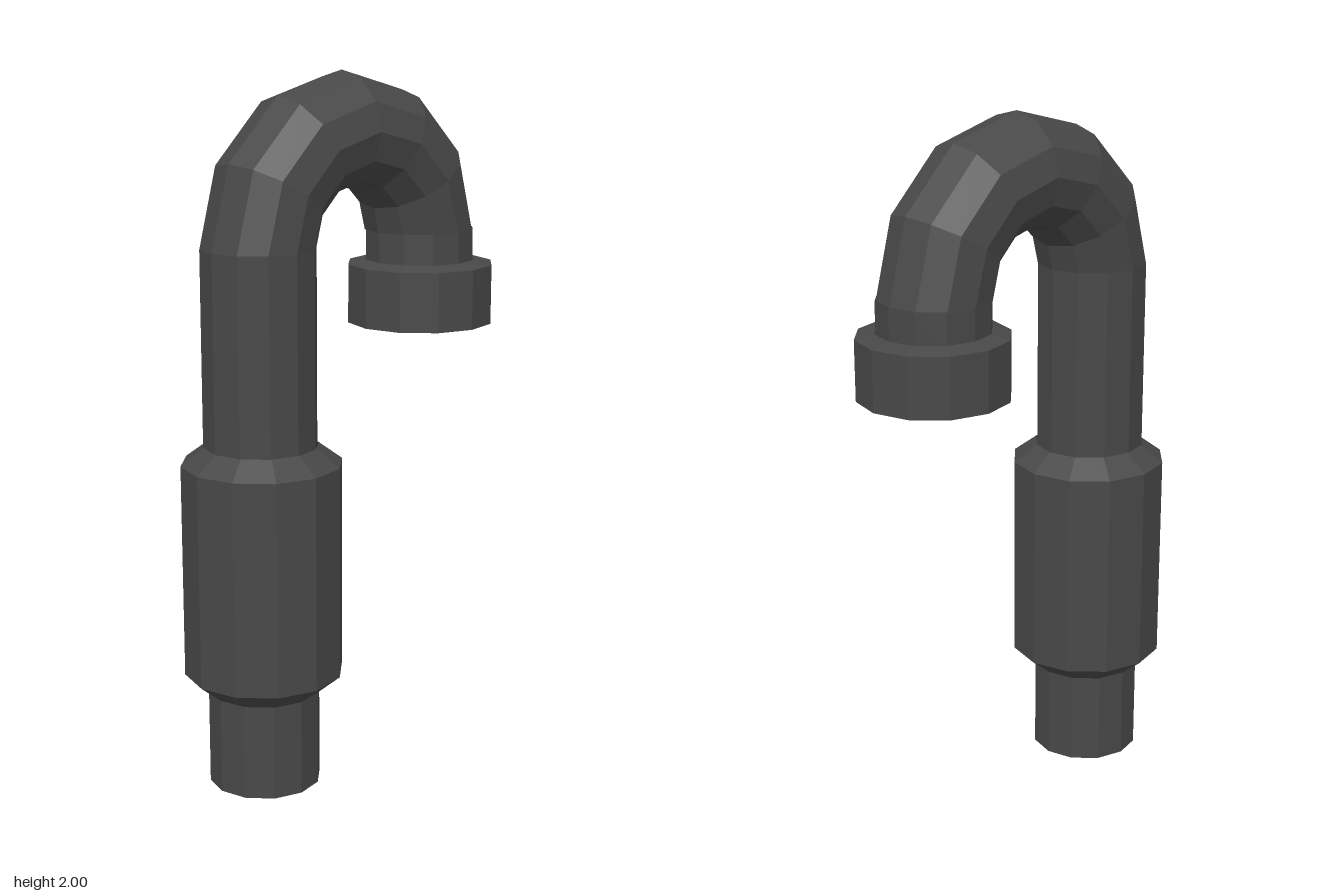
import * as THREE from 'three';

const SIDES = 12;
const PIPE_R = 0.16;   // pipe radius
const BEND_R = 0.302;  // centre-line radius of the bend
const BEND_Y = 1.538;  // height where the bend starts

export function createModel() {
  const model = new THREE.Group();
  model.name = 'goosenechPipe'.replace('nech', 'neck');
  const material = new THREE.MeshStandardMaterial({
    color: 0x484848, flatShading: true, side: THREE.DoubleSide,
  });

  const add = (name, geometry, z = 0) => {
    const mesh = new THREE.Mesh(geometry, material);
    mesh.name = name;
    mesh.position.z = z;
    model.add(mesh);
    return mesh;
  };
  // Turned part from [radius, height] pairs, listed bottom to top
  const turned = (name, profile, z) => add(name,
    new THREE.LatheGeometry(profile.map(([r, y]) => new THREE.Vector2(r, y)), SIDES), z);

  // Upright pipe, open at the foot, with its bevelled sleeve
  turned('lowerPipe', [[PIPE_R, 0], [PIPE_R, 0.275]], BEND_R - 0.004);
  turned('sleeve', [[PIPE_R, 0.275], [0.227, 0.33], [0.227, 0.94], [PIPE_R, 0.99]], BEND_R - 0.004);
  turned('upperPipe', [[PIPE_R, 0.99], [PIPE_R, BEND_Y]], BEND_R);

  // Half-circle bend over the top
  const bend = add('bend', new THREE.TorusGeometry(BEND_R, PIPE_R, SIDES, 6, Math.PI));
  bend.rotation.y = -Math.PI / 2;
  bend.position.y = BEND_Y;

  // Short drop at the back and the closed end cap
  turned('outletPipe', [[PIPE_R, 1.45], [PIPE_R, BEND_Y]], -BEND_R - 0.004);
  turned('endCap', [[0, 1.265], [0.215, 1.265], [0.215, 1.437], [PIPE_R, 1.45]], -0.31);

  return model;
}
